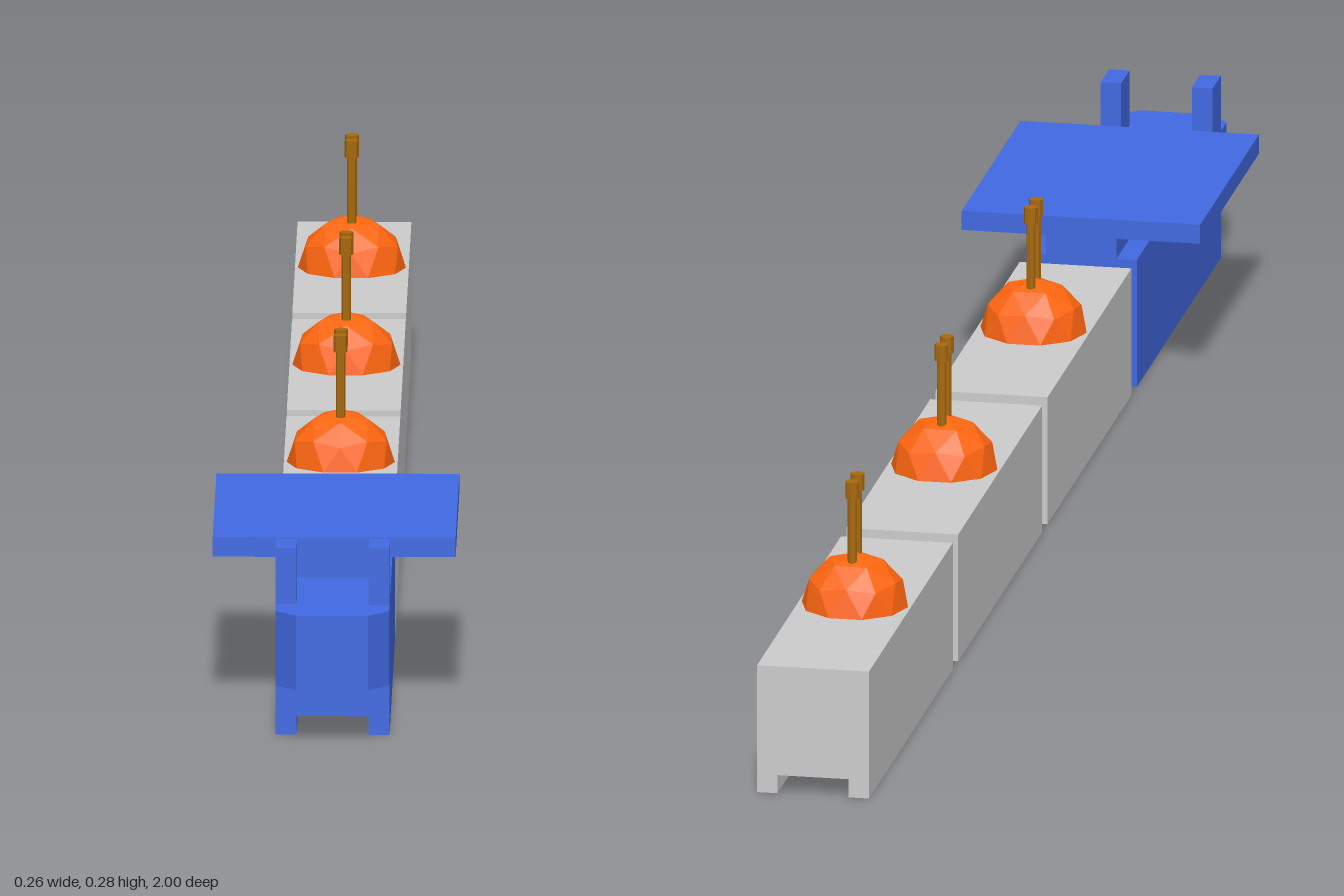
import * as THREE from 'three';

const mat = (color) => new THREE.MeshStandardMaterial({ color, flatShading: true });
const LENGTH = 0.463, PITCH = 0.493, HALF = 0.06, INNER = 0.038, TOP = 0.14;

export function createModel() {
  const root = new THREE.Group();
  root.name = 'train';
  const blue = mat(0x4169e1), grey = mat(0xcccccc), orange = mat(0xff6610), brass = mat(0xa8690c);

  const add = (parent, name, geometry, material, x, y, z) => {
    const mesh = new THREE.Mesh(geometry, material);
    mesh.name = name;
    mesh.position.set(x, y, z);
    parent.add(mesh);
    return mesh;
  };
  const box = (w, h, d) => new THREE.BoxGeometry(w, h, d);

  // Car body: block with a wide groove along its underside
  const section = new THREE.Shape([
    [-HALF, 0], [-INNER, 0], [-INNER, 0.02], [INNER, 0.02],
    [INNER, 0], [HALF, 0], [HALF, TOP], [-HALF, TOP],
  ].map(([x, y]) => new THREE.Vector2(x, y)));
  const bodyGeo = new THREE.ExtrudeGeometry(section, { depth: LENGTH, bevelEnabled: false });
  bodyGeo.translate(0, 0, -LENGTH / 2);

  // Engine
  const engine = new THREE.Group();
  engine.name = 'engine';
  root.add(engine);
  const engineZ = 0.7125, engineFront = engineZ + LENGTH / 2;
  add(engine, 'engineBody', bodyGeo, blue, 0, 0, engineZ);

  // Nose with chamfered corners, drawn in plan and extruded upward
  const plan = new THREE.Shape([
    [-HALF, 0], [-HALF, -0.032], [-INNER, -0.056], [INNER, -0.056], [HALF, -0.032], [HALF, 0],
  ].map(([x, y]) => new THREE.Vector2(x, y)));
  const noseGeo = new THREE.ExtrudeGeometry(plan, { depth: 0.08, bevelEnabled: false });
  noseGeo.rotateX(-Math.PI / 2);
  add(engine, 'nose', noseGeo, blue, 0, 0.06, engineFront);

  // Front posts
  for (const side of [-1, 1]) {
    add(engine, side > 0 ? 'leftPost' : 'rightPost', box(HALF - INNER, 0.061, 0.046), blue,
      side * (HALF + INNER) / 2, 0.1705, engineFront - 0.023);
  }

  // Flat roof on a narrow support
  add(engine, 'roofSupport', box(0.076, 0.022, 0.324), blue, 0, 0.151, 0.643);
  add(engine, 'roof', box(0.256, 0.021, 0.324), blue, 0, 0.1725, 0.643);

  // Turret: half-buried faceted ball with a vertex at the top
  const domeGeo = new THREE.IcosahedronGeometry(0.057, 1);
  domeGeo.rotateX(-Math.atan((1 + Math.sqrt(5)) / 2));
  const barrelGeo = new THREE.CylinderGeometry(0.005, 0.005, 0.09, 8);
  const muzzleGeo = new THREE.CylinderGeometry(0.0075, 0.0075, 0.018, 8);

  // Three wagons, each with a coupler in front and a turret on top
  for (let i = 1; i <= 3; i++) {
    const wagon = new THREE.Group();
    wagon.name = `wagon${i}`;
    wagon.position.z = engineZ - i * PITCH;
    root.add(wagon);
    add(wagon, 'wagonBody', bodyGeo, grey, 0, 0, 0);
    add(wagon, 'coupler', box(0.07, 0.04, PITCH - LENGTH), grey, 0, 0.08, PITCH / 2);
    add(wagon, 'dome', domeGeo, orange, 0, TOP, 0);
    for (const side of [-1, 1]) {
      add(wagon, 'barrel', barrelGeo, brass, 0, 0.225, side * 0.0145);
      add(wagon, 'muzzle', muzzleGeo, brass, 0, 0.271, side * 0.0145);
    }
  }
  return root;
}
